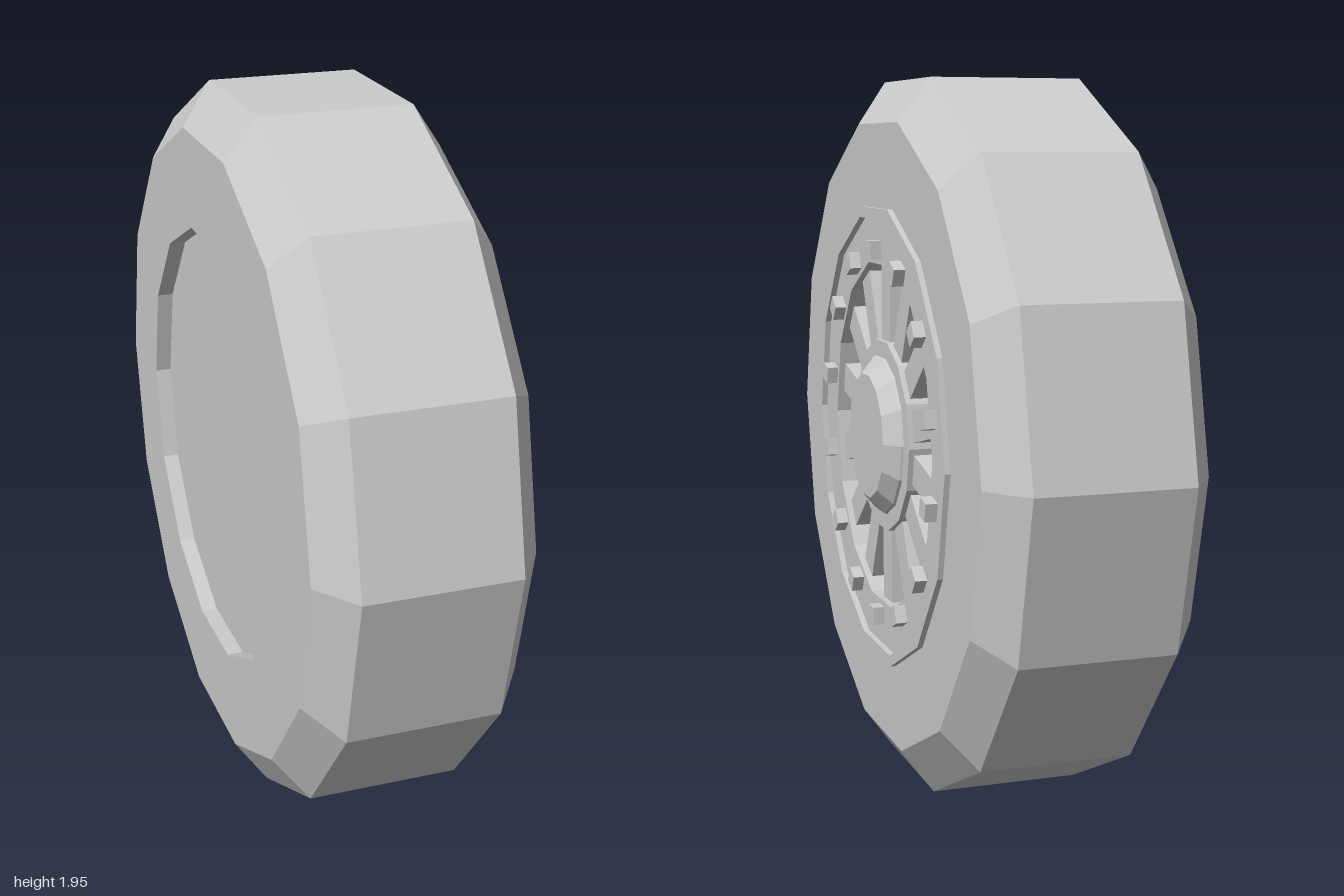
import * as THREE from 'three';

const SIDES = 14;
const CENTRE_Y = Math.cos(Math.PI / SIDES); // stands on a flat of the tread

export function createModel() {
  const wheel = new THREE.Group();
  wheel.name = 'wheel';
  const material = new THREE.MeshStandardMaterial({ color: 0xcccccc, flatShading: true });

  // Faceted ring or disc turned about the x axle; profile points are [radius, x], back to front
  function turned(name, profile) {
    const points = profile.map(([r, x]) => new THREE.Vector2(r, x));
    const geometry = new THREE.LatheGeometry(points, SIDES);
    geometry.rotateZ(-Math.PI / 2);
    const mesh = new THREE.Mesh(geometry, material);
    mesh.name = name;
    wheel.add(mesh);
  }

  // Boxes repeated around the axle, one centred on each flat
  function around(name, depth, length, width, x, radius) {
    const group = new THREE.Group();
    group.name = name + 's';
    const geometry = new THREE.BoxGeometry(depth, length, width);
    geometry.translate(x, radius, 0);
    for (let i = 0; i < SIDES; i++) {
      const mesh = new THREE.Mesh(geometry, material);
      mesh.name = name;
      mesh.rotation.x = (i / SIDES) * Math.PI * 2;
      group.add(mesh);
    }
    wheel.add(group);
  }

  // Tyre with chamfered shoulders and a shallow recess in the back
  turned('tyre', [
    [0.61, -0.27], [0.61, -0.315], [0.88, -0.315], [1, -0.23],
    [1, 0.185], [0.88, 0.27], [0.64, 0.27],
  ]);
  turned('backPlate', [[0, -0.27], [0.61, -0.27]]);

  // Rim: raised lip, bolt flange, then the well behind the spokes
  turned('rim', [
    [0.645, 0.26], [0.645, 0.285], [0.615, 0.285], [0.615, 0.268],
    [0.487, 0.268], [0.487, 0.2], [0, 0.2],
  ]);

  // Hub collar and bevelled cap
  turned('hubCollar', [[0.27, 0.2], [0.27, 0.265], [0.2, 0.265]]);
  turned('hubCap', [[0.225, 0.26], [0.22, 0.272], [0.175, 0.31], [0, 0.31]]);

  around('spoke', 0.055, 0.23, 0.085, 0.2225, 0.36);
  around('bolt', 0.045, 0.05, 0.05, 0.2775, 0.515);

  wheel.position.y = CENTRE_Y;
  const model = new THREE.Group();
  model.name = 'wheelModel';
  model.add(wheel);
  return model;
}
